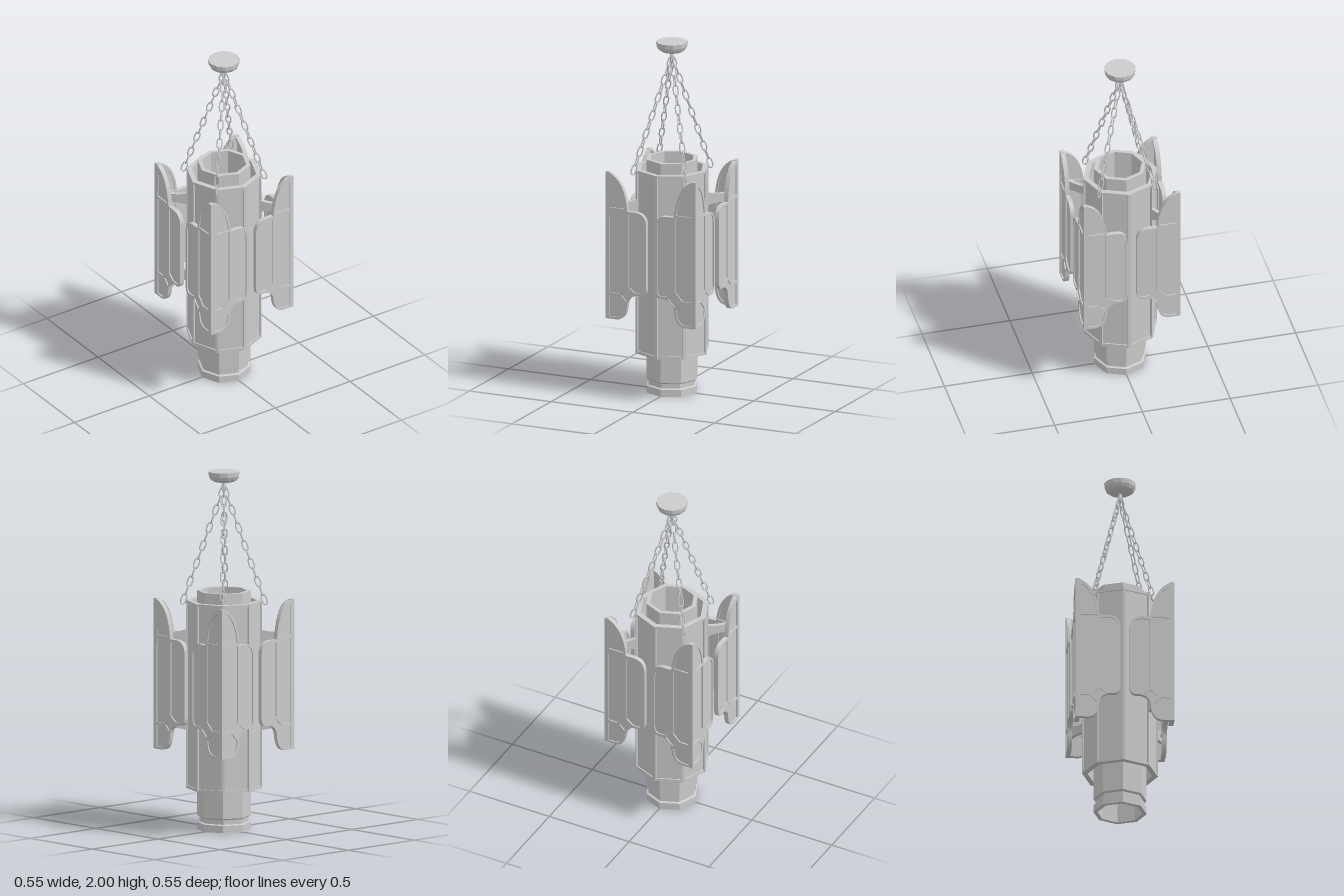
import * as THREE from 'three';

const mat = new THREE.MeshStandardMaterial({ color: 0xcccccc, flatShading: true, side: THREE.DoubleSide });
const smooth = new THREE.MeshStandardMaterial({ color: 0xcccccc });

function add(parent, name, geometry, material = mat) {
  const mesh = new THREE.Mesh(geometry, material);
  mesh.name = name;
  parent.add(mesh);
  return mesh;
}

// Trace a path: [x, y] is a line, [cx, cy, x, y] a curve; s mirrors it in x
function trace(path, steps, s = 1) {
  steps.forEach((p, i) => {
    if (i === 0) path.moveTo(s * p[0], p[1]);
    else if (p.length === 2) path.lineTo(s * p[0], p[1]);
    else path.quadraticCurveTo(s * p[0], p[1], s * p[2], p[3]);
  });
  path.closePath();
  return path;
}

const extrude = (shape, depth) =>
  new THREE.ExtrudeGeometry(shape, { depth, bevelEnabled: false, curveSegments: 8 });

// Hollow octagonal ring from an outer profile and an inner radius
function octTube(outer, inner) {
  const pts = [[inner, outer[0][1]], ...outer, [inner, outer.at(-1)[1]], [inner, outer[0][1]]];
  return new THREE.LatheGeometry(pts.map(p => new THREE.Vector2(...p)), 8);
}

// Wing outline, from the model's corner toward the middle of a side
const OUTLINE = [
  [0.275, 0.45], [0.275, 1.29], [0.255, 1.288], [0.155, 1.25, 0.142, 1.075], [0.09, 1.075],
  [0.026, 1.072, 0.026, 1.0], [0.026, 0.645], [0.028, 0.602, 0.06, 0.6], [0.085, 0.6],
  [0.138, 0.59, 0.142, 0.54], [0.15, 0.455, 0.205, 0.45],
];
// Panes set into each wing
const PANES = {
  leafPane: [[0.26, 1.268], [0.172, 1.235, 0.156, 1.088], [0.26, 1.088]],
  cornerPane: [[0.26, 1.072], [0.153, 1.072], [0.153, 0.645], [0.195, 0.6], [0.26, 0.6]],
  innerPane: [[0.137, 1.06], [0.09, 1.06], [0.039, 1.06, 0.039, 1.0], [0.039, 0.65],
    [0.04, 0.614, 0.07, 0.614], [0.1, 0.616], [0.137, 0.645]],
  diamondPane: [[0.142, 0.63], [0.108, 0.604], [0.15, 0.56], [0.18, 0.592]],
  lobePane: [[0.26, 0.585], [0.2, 0.585], [0.158, 0.543], [0.16, 0.468, 0.21, 0.463], [0.26, 0.463]],
};

function makeWing(s) {
  const wing = new THREE.Group();
  wing.name = s > 0 ? 'leftWing' : 'rightWing';
  const frame = trace(new THREE.Shape(), OUTLINE, s);
  for (const [name, steps] of Object.entries(PANES)) {
    frame.holes.push(trace(new THREE.Path(), steps, s));
    add(wing, name, extrude(trace(new THREE.Shape(), steps, s), 0.011)).position.z = 0.257;
  }
  add(wing, 'wingFrame', extrude(frame, 0.025)).position.z = 0.25;
  return wing;
}

// One elongated chain link
function linkGeometry() {
  const w = 0.0125, h = 0.028;
  const pts = [[w, -0.6 * h], [w, 0.6 * h], [0.55 * w, h], [-0.55 * w, h],
    [-w, 0.6 * h], [-w, -0.6 * h], [-0.55 * w, -h], [0.55 * w, -h]];
  const curve = new THREE.CatmullRomCurve3(pts.map(p => new THREE.Vector3(p[0], p[1], 0)), true);
  return new THREE.TubeGeometry(curve, 20, 0.004, 6, true);
}

export function createModel() {
  const root = new THREE.Group();
  root.name = 'hangingLantern';

  // Ceiling canopy, stem and hook ring
  const cap = [[0, 1.94], [0.055, 1.943], [0.077, 1.957], [0.086, 1.975], [0.088, 2], [0, 2]];
  add(root, 'canopy', new THREE.LatheGeometry(cap.map(p => new THREE.Vector2(...p)), 12));
  add(root, 'stem', new THREE.CylinderGeometry(0.007, 0.014, 0.03, 8)).position.y = 1.93;
  add(root, 'hookRing', new THREE.TorusGeometry(0.014, 0.004, 6, 16), smooth).position.y = 1.903;

  // Inner octagonal tube with a grooved foot and a top rim
  add(root, 'innerTube', octTube([[0.148, 0], [0.148, 0.04], [0.136, 0.045], [0.136, 0.07],
    [0.148, 0.078], [0.148, 1.335]], 0.125));

  // Outer octagonal shade with rims and edge ribs
  add(root, 'outerShade', octTube([[0.203, 0.235], [0.203, 1.275]], 0.185));
  for (const [name, y] of [['bottomRim', 0.23], ['topRim', 1.264]]) {
    add(root, name, octTube([[0.21, y], [0.21, y + 0.016]], 0.18));
  }
  for (let i = 0; i < 8; i++) {
    const a = i * Math.PI / 4;
    const rib = add(root, 'shadeRib', new THREE.BoxGeometry(0.018, 1.05, 0.018));
    rib.position.set(0.2 * Math.sin(a), 0.755, 0.2 * Math.cos(a));
    rib.rotation.y = a;
  }

  // Glazed wings, a mirrored pair on each side meeting at the corners
  for (let k = 0; k < 4; k++) {
    const side = new THREE.Group();
    side.name = 'wingPair';
    side.add(makeWing(1), makeWing(-1));
    side.rotation.y = k * Math.PI / 2;
    root.add(side);
  }

  // Chains and wing brackets along the diagonals
  const link = linkGeometry();
  const top = new THREE.Vector2(0.01, 1.885), bottom = new THREE.Vector2(0.222, 1.285);
  const tilt = Math.atan2(bottom.x - top.x, top.y - bottom.y);
  const count = 13;
  const bracket = trace(new THREE.Shape(), [[0.195, -0.04], [0.28, -0.01, 0.365, -0.04],
    [0.365, 0.04], [0.28, 0.01, 0.195, 0.04]]);
  for (let k = 0; k < 4; k++) {
    const arm = new THREE.Group();
    arm.name = 'cornerArm';
    arm.rotation.y = Math.PI / 4 + k * Math.PI / 2;
    for (let i = 0; i < count; i++) {
      const p = bottom.clone().lerp(top, i / (count - 1));
      const mesh = add(arm, 'chainLink', link, smooth);
      mesh.position.set(p.x, p.y, 0);
      mesh.rotation.set(0, i % 2 ? Math.PI / 2 : 0, tilt, 'ZYX');
    }
    for (const y of [1.08, 0.59]) {
      add(arm, 'wingBracket', extrude(bracket, 0.02)).position.set(0, y, -0.01);
    }
    root.add(arm);
  }
  return root;
}
